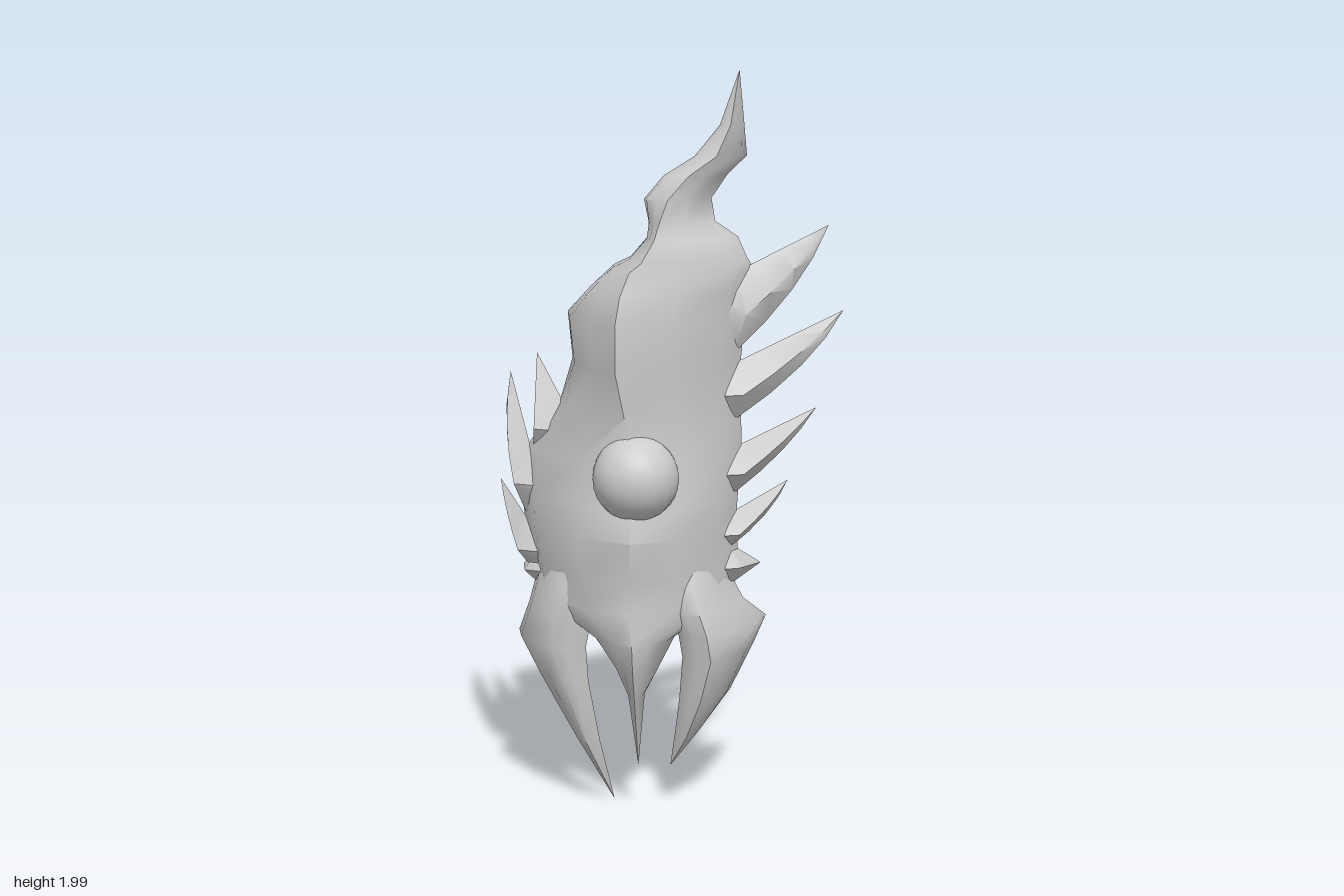
import * as THREE from 'three';
import { toCreasedNormals } from 'three/addons/utils/BufferGeometryUtils.js';

const lerp = THREE.MathUtils.lerp;

// Skin a list of closed rings; the first ring is the upper or tip end.
function loft(rings) {
  const n = rings[0].length, index = [];
  for (let i = 0; i < rings.length - 1; i++) {
    for (let j = 0; j < n; j++) {
      const k = (j + 1) % n;
      const a = i * n + j, b = i * n + k, c = a + n, d = b + n;
      index.push(c, d, b, c, b, a);
    }
  }
  const geo = new THREE.BufferGeometry();
  geo.setAttribute('position', new THREE.Float32BufferAttribute(rings.flat(2), 3));
  geo.setIndex(index);
  return toCreasedNormals(geo, 1.0);
}

// Row: y, left edge x z, ridge x z, right edge x z, back z.
function section([y, xL, zL, xM, zF, xR, zR, zB]) {
  const p = (x, z, t, s, zc) => [lerp(x, xM, t), y, lerp(z, zc, s)];
  return [
    [xL, y, zL], p(xL, zL, 0.15, 0.4, zF), p(xL, zL, 0.55, 0.76, zF),
    [xM, y, zF], p(xR, zR, 0.55, 0.76, zF), p(xR, zR, 0.15, 0.4, zF),
    [xR, y, zR], p(xR, zR, 0.5, 0.6, zB), [xM, y, zB], p(xL, zL, 0.5, 0.6, zB),
  ];
}

// Blade-like spike from its tip to the upper and lower ends of its base.
// The lower edge bows outward; the last ring is buried in the plate.
function spike(tip, upper, lower, bow) {
  const [T, A, B] = [tip, upper, lower].map((p) => new THREE.Vector3(...p));
  const sign = Math.sign(T.x);
  const normal = new THREE.Vector3(sign * 0.6, 0, 0.8);
  const core = new THREE.Vector3(-0.05, (A.y + B.y) / 2, 0.13);
  const ring = (a, b, front, back) => {
    const mid = a.clone().add(b).multiplyScalar(0.5);
    const f = mid.clone().addScaledVector(normal, front);
    const k = mid.clone().addScaledVector(normal, -back);
    return (sign > 0 ? [a, f, b, k] : [b, f, a, k]).map((p) => p.toArray());
  };
  const rings = [0, 0.25, 0.5, 0.75, 1].map((t) => {
    const b = T.clone().lerp(B, t);
    b.x += sign * bow * 4 * t * (1 - t);
    return ring(T.clone().lerp(A, t), b, 0.055 * t, 0.035 * t * (1.5 - t));
  });
  rings.push(ring(A.clone().lerp(core, 0.35), B.clone().lerp(core, 0.35), 0.03, 0));
  return loft(rings);
}

export function createModel() {
  const group = new THREE.Group();
  const grey = new THREE.MeshStandardMaterial({ color: 0xcccccc });
  grey.name = 'lightGrey';
  const add = (name, geo) => {
    const mesh = new THREE.Mesh(geo, grey);
    mesh.name = name;
    group.add(mesh);
    return mesh;
  };

  // Hooked crest rows, then the hollow-backed plate down to the middle tooth
  const crest = [
    [2.0, 0.205, 0, 0.205, 0, 0.205, 0, 0],
    [1.86, 0.155, 0.0, 0.185, 0.025, 0.215, -0.05, -0.05],
    [1.78, 0.09, 0.0, 0.15, 0.035, 0.22, -0.08, -0.06],
    [1.73, 0.01, 0.01, 0.08, 0.06, 0.17, -0.06, -0.05],
    [1.67, -0.04, 0.02, 0.03, 0.1, 0.13, -0.05, -0.04],
    [1.61, -0.03, 0.0, 0.01, 0.12, 0.14, -0.05, -0.03],
    [1.57, -0.035, -0.02, 0.0, 0.14, 0.2, -0.05, -0.02],
    [1.515, -0.085, -0.06, -0.03, 0.165, 0.225, -0.05, -0.01],
  ];
  const plate = [
    [1.49, -0.135, -0.1, -0.06, 0.18, 0.24, -0.06, 0.0],
    [1.43, -0.2, -0.11, -0.08, 0.21, 0.22, -0.05, 0.02],
    [1.36, -0.265, -0.12, -0.09, 0.225, 0.22, -0.06, 0.03],
    [1.24, -0.245, -0.07, -0.09, 0.225, 0.21, -0.05, 0.04],
    [1.12, -0.28, -0.06, -0.07, 0.2, 0.21, -0.06, 0.045],
    [1.0, -0.37, -0.07, -0.05, 0.2, 0.215, -0.05, 0.045],
    [0.88, -0.385, -0.07, -0.05, 0.22, 0.205, -0.05, 0.045],
    [0.8, -0.38, -0.06, -0.05, 0.245, 0.2, -0.05, 0.045],
    [0.68, -0.355, -0.05, -0.06, 0.21, 0.21, -0.05, 0.05],
    [0.6, -0.34, -0.03, -0.06, 0.21, 0.19, -0.04, 0.06],
    [0.52, -0.17, 0.1, -0.05, 0.22, 0.05, 0.1, 0.09],
    [0.44, -0.11, 0.11, -0.05, 0.2, 0.01, 0.11, 0.1],
    [0.36, -0.075, 0.1, -0.05, 0.165, -0.03, 0.1, 0.1],
    [0.15, -0.05, 0.08, -0.05, 0.08, -0.05, 0.08, 0.08],
  ];
  add('shieldBody', loft([...crest, ...plate].map(section)));

  // Two hooked lower fangs
  add('rightFang', loft([
    [0.76, -0.3, 0.01, -0.23, 0.09, -0.15, 0.09, 0.06],
    [0.66, -0.34, -0.03, -0.25, 0.115, -0.14, 0.12, 0.04],
    [0.57, -0.365, -0.04, -0.27, 0.115, -0.17, 0.11, 0.03],
    [0.48, -0.4, -0.07, -0.28, 0.11, -0.19, 0.09, 0.01],
    [0.38, -0.34, -0.04, -0.25, 0.105, -0.185, 0.08, 0.01],
    [0.2, -0.235, -0.02, -0.195, 0.06, -0.16, 0.04, 0.0],
    [0.01, -0.13, -0.03, -0.13, -0.03, -0.13, -0.03, -0.03],
  ].map(section)));
  add('leftFang', loft([
    [0.76, 0.03, 0.1, 0.1, 0.09, 0.15, 0.03, 0.06],
    [0.66, 0.01, 0.12, 0.1, 0.13, 0.19, -0.03, 0.04],
    [0.59, 0.04, 0.12, 0.12, 0.145, 0.22, -0.06, 0.03],
    [0.53, 0.06, 0.1, 0.14, 0.145, 0.28, -0.11, 0.02],
    [0.46, 0.07, 0.09, 0.15, 0.135, 0.25, -0.09, 0.01],
    [0.34, 0.06, 0.07, 0.12, 0.11, 0.19, -0.04, 0.01],
    [0.23, 0.045, 0.04, 0.08, 0.07, 0.11, -0.01, 0.01],
    [0.13, 0.03, 0.015, 0.03, 0.015, 0.03, 0.015, 0.015],
  ].map(section)));

  // Swept-back blades along both rims
  const rim = [
    ['leftSpike', [0.435, 1.595, -0.145], [0.2, 1.48, -0.03], [0.19, 1.26, -0.03], 0.03],
    ['leftSpike', [0.475, 1.355, -0.26], [0.19, 1.235, -0.03], [0.19, 1.08, -0.03], 0.035],
    ['leftSpike', [0.405, 1.085, -0.26], [0.195, 1.01, -0.03], [0.19, 0.88, -0.03], 0.02],
    ['leftSpike', [0.33, 0.885, -0.23], [0.185, 0.83, -0.03], [0.18, 0.73, -0.03], 0.02],
    ['leftSpike', [0.265, 0.68, -0.1], [0.18, 0.75, -0.03], [0.18, 0.63, -0.02], 0],
    ['rightSpike', [-0.455, 1.17, -0.28], [-0.355, 0.99, -0.04], [-0.37, 0.82, -0.03], 0.03],
    ['rightSpike', [-0.48, 0.87, -0.24], [-0.365, 0.8, -0.03], [-0.34, 0.65, -0.02], 0.01],
    ['rightSpike', [-0.365, 1.235, -0.2], [-0.265, 1.12, -0.04], [-0.35, 0.99, -0.04], 0],
    ['rightSpike', [-0.39, 0.66, -0.1], [-0.34, 0.72, -0.03], [-0.33, 0.62, -0.02], 0],
  ];
  for (const [name, ...s] of rim) add(name, spike(...s));

  // Round boss
  add('boss', new THREE.SphereGeometry(0.113, 20, 14)).position.set(-0.045, 0.96, 0.167);

  return group;
}
